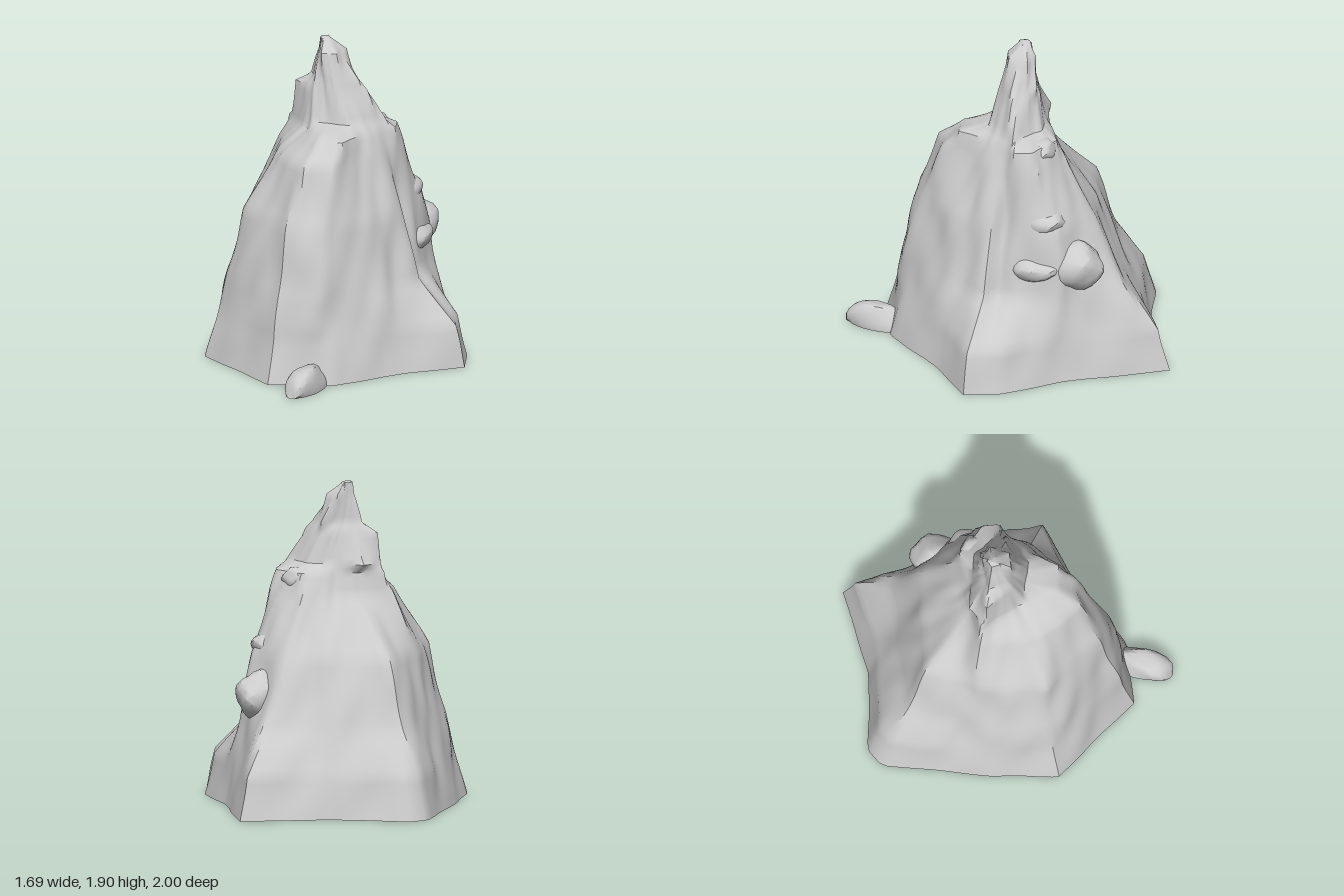
import * as THREE from 'three';
import { toCreasedNormals } from 'three/addons/utils/BufferGeometryUtils.js';

const COLS = 128;
const { lerp, smoothstep } = THREE.MathUtils;
const rock = new THREE.MeshStandardMaterial({ color: 0xcccccc, side: THREE.DoubleSide });

// The axis leans toward -x near the peak
const axisX = y => -0.09 * smoothstep(y, 1.3, 1.85);

// Distance from the axis to a cross-section outline at angle a; corners are x, z pairs
function reach(c, cx, a) {
  const dx = Math.cos(a), dz = Math.sin(a);
  let best = 0;
  for (let i = 0; i < c.length; i += 2) {
    const k = (i + 2) % c.length;
    const px = c[i] - cx, pz = c[i + 1], ex = c[k] - c[i], ez = c[k + 1] - pz;
    const det = dx * ez - dz * ex;
    const along = (px * ez - pz * ex) / det, u = (px * dz - pz * dx) / det;
    if (along > 0 && u > -1e-6 && u < 1 + 1e-6) best = Math.max(best, along);
  }
  return best;
}

// Weathering: vertical flutes broken up with height
function weather(a, y) {
  return 0.5 * Math.sin(a * 9 + 2.3 * Math.sin(y * 3)) +
    0.35 * Math.sin(a * 17 + y * 4) * Math.sin(y * 7 + a * 2) +
    0.35 * Math.sin(y * 13 + 3 * Math.sin(a * 3));
}

// Gully down the left flank, fading out at foot and peak
function gully(a, r, y) {
  if (Math.cos(a) < 0) return 0;
  const off = (Math.sin(a) * r + 0.07) / 0.06;
  return 0.05 * Math.exp(-off * off) * smoothstep(y, 0.1, 0.6) * (1 - smoothstep(y, 1.2, 1.6));
}

function mountainGeometry() {
  // Outlines run from +x round through the front
  const base = [.85, 0, .6, .27, .34, .68, 0, .84, -.58, .57, -.7, .2, -.85, -.43,
    -.78, -.54, -.33, -.69, .1, -1, .47, -.48, .76, -.2];
  const outlines = [
    [0, base],
    [.25, base.map(v => v * 0.92)],
    [.5, [.55, 0, .46, .25, .25, .64, 0, .73, -.5, .48, -.6, .1, -.65, -.36, .12, -.71, .4, -.42]],
    [.9, [.44, 0, .38, .2, .22, .55, 0, .62, -.4, .42, -.52, .05, -.5, -.28, .05, -.5, .35, -.4]],
    [1.25, [.37, -.08, .24, .2, .2, .4, .05, .49, -.2, .34, -.38, .02, .05, -.32, .3, -.25]],
    [1.37, [.34, -.1, .22, .1, .2, .3, .05, .34, -.12, .17, -.33, 0, .08, -.27, .28, -.2]],
    [1.42, [.3, -.08, .14, .14, -.08, .18, -.3, .02, -.25, -.1, .08, -.18]],
    [1.6, [.18, -.02, .05, .12, -.1, .12, -.28, .02, -.03, -.12, .1, -.1]],
    [1.66, [.14, 0, .03, .11, -.1, .1, -.18, 0, .02, -.12]],
    [1.82, [.02, .06, -.06, .1, -.13, 0, -.06, -.08, .02, -.06]],
    [1.89, [-.05, 0, -.09, .04, -.12, 0, -.09, -.04]]
  ];
  const rings = outlines.map(([y, corners]) => ({
    y, r: Array.from({ length: COLS }, (_, i) => reach(corners, axisX(y), i / COLS * Math.PI * 2))
  }));
  rings.push({ y: 1.9, r: new Array(COLS).fill(0.001) });

  const pos = [], index = [];
  const addRow = (A, B, u) => {
    const y = lerp(A.y, B.y, u);
    for (let i = 0; i < COLS; i++) {
      const a = i / COLS * Math.PI * 2;
      let r = lerp(A.r[i], B.r[i], u);
      r *= 1 + 0.03 * weather(a, y) * Math.min(1, 0.2 + y * 2);
      r -= gully(a, r, y);
      pos.push(axisX(y) + Math.cos(a) * r, y, Math.sin(a) * r);
    }
  };
  rings.forEach((A, k) => {
    const B = rings[k + 1] ?? A;
    const steps = B === A ? 1 : Math.ceil((B.y - A.y) / 0.05) + 1;
    for (let s = 0; s < steps; s++) addRow(A, B, s / steps);
  });
  const rows = pos.length / 3 / COLS;
  for (let j = 0; j < rows - 1; j++) for (let i = 0; i < COLS; i++) {
    const a = j * COLS + i, b = j * COLS + (i + 1) % COLS;
    index.push(a, a + COLS, b, b, a + COLS, b + COLS);
  }
  const g = new THREE.BufferGeometry();
  g.setAttribute('position', new THREE.Float32BufferAttribute(pos, 3));
  g.setIndex(index);
  return toCreasedNormals(g, 0.6);
}

// Rough boulder, flattened where it meets the ground
function boulder(name, [x, y, z], [sx, sy, sz]) {
  const g = new THREE.IcosahedronGeometry(1, 3), p = g.attributes.position;
  const v = new THREE.Vector3(), size = new THREE.Vector3(sx, sy, sz);
  for (let i = 0; i < p.count; i++) {
    v.fromBufferAttribute(p, i);
    v.multiplyScalar(1 + 0.1 * Math.sin(v.x * 4 + x * 9) * Math.cos(v.z * 3 + v.y * 4 + z * 7));
    v.multiply(size);
    p.setXYZ(i, v.x, Math.max(v.y, -y), v.z);
  }
  const m = new THREE.Mesh(toCreasedNormals(g, 0.6), rock);
  m.name = name;
  m.position.set(x, y, z);
  return m;
}

export function createModel() {
  const group = new THREE.Group();
  group.name = 'mountain';
  const body = new THREE.Mesh(mountainGeometry(), rock);
  body.name = 'mountainBody';
  group.add(body);

  // Boulder at the foot of the front cliff
  group.add(boulder('footBoulder', [.24, .02, .82], [.09, .13, .18]));

  // Boulders and ledges bulging from the back left flank
  group.add(boulder('flankBoulder', [.25, .66, -.45], [.14, .15, .17]));
  group.add(boulder('flankLedge', [.33, .66, -.24], [.14, .09, .17]));
  group.add(boulder('upperLedge', [.26, .94, -.27], [.13, .09, .13]));
  group.add(boulder('backKnob', [.14, 1.33, -.2], [.09, .07, .08]));
  return group;
}
